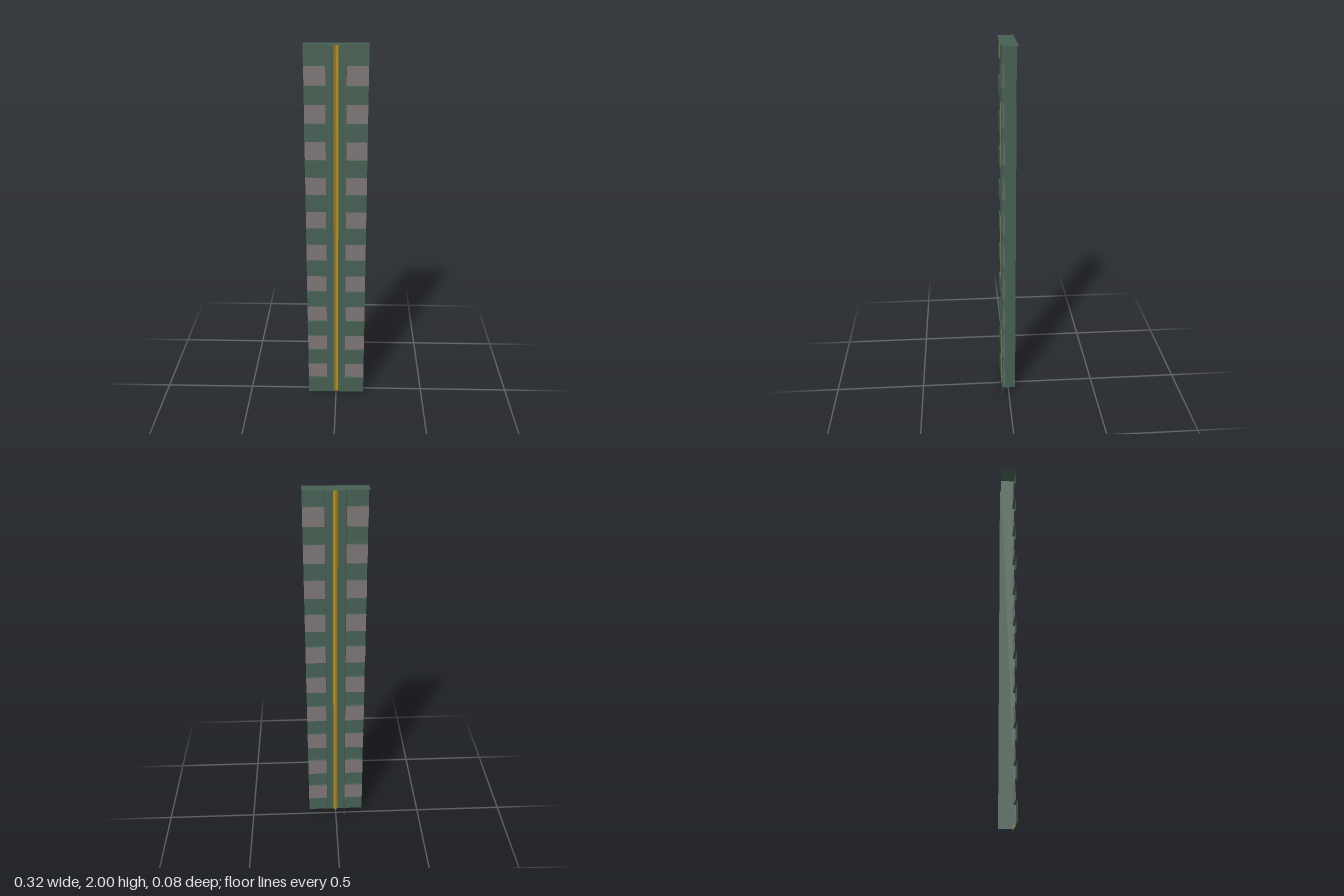
import * as THREE from 'three';

const H = 2, W = 0.16, D = 0.041;        // height, half width, half depth
const FRONT = 0.037, PANE = 0.025;       // wall plane and recessed window plane
const IN = 0.052, STRIP = 0.012;         // inner window edge, half width of centre strip
const ROWS = 10, FIRST = 0.145, PITCH = 0.1897, HALF = 0.049;

const mat = (color) => new THREE.MeshStandardMaterial({ color, side: THREE.DoubleSide, flatShading: true });
const green = mat(0x465f53), grey = mat(0x7d7575), gold = mat(0xb48e1a);

// Flat sheet, turned by rx / ry and placed at x, y, z
function sheet(name, material, w, h, x, y, z, rx = 0, ry = 0) {
  const mesh = new THREE.Mesh(new THREE.PlaneGeometry(w, h), material);
  mesh.name = name;
  mesh.position.set(x, y, z);
  mesh.rotation.set(rx, ry, 0);
  return mesh;
}

function createHalf(name) {
  const half = new THREE.Group();
  half.name = name;
  const depth = FRONT - PANE, midZ = (FRONT + PANE) / 2;
  const midX = (IN + W) / 2, width = W - IN;

  // Wall sheet, notched at its outer edge for each window
  const outline = new THREE.Shape();
  outline.moveTo(STRIP, 0);
  outline.lineTo(W, 0);
  for (let i = 0; i < ROWS; i++) {
    const y = FIRST + i * PITCH;
    outline.lineTo(W, y - HALF);
    outline.lineTo(IN, y - HALF);
    outline.lineTo(IN, y + HALF);
    outline.lineTo(W, y + HALF);

    // Recessed pane with sill, lintel and inner reveal
    half.add(
      sheet('window', grey, width, 2 * HALF, midX, y, PANE),
      sheet('sill', green, width, depth, midX, y - HALF, midZ, -Math.PI / 2),
      sheet('lintel', green, width, depth, midX, y + HALF, midZ, Math.PI / 2),
      sheet('reveal', green, depth, 2 * HALF, IN, y, midZ, 0, Math.PI / 2)
    );
  }
  outline.lineTo(W, H);
  outline.lineTo(STRIP, H);
  const wall = new THREE.Mesh(new THREE.ShapeGeometry(outline), green);
  wall.name = 'wall';
  wall.position.z = FRONT;
  half.add(wall);

  // Rib running back from the wall
  half.add(sheet('rib', green, FRONT + D, H, IN - 0.001, H / 2, (FRONT - D) / 2, 0, Math.PI / 2));

  // One side of the V-shaped centre groove
  const run = Math.hypot(STRIP, depth);
  half.add(sheet('grooveSide', gold, run, H, STRIP / 2, H / 2, midZ, 0, -Math.atan2(depth, STRIP)));
  return half;
}

export function createModel() {
  const model = new THREE.Group();
  model.name = 'facadePanel';
  const left = createHalf('leftHalf');
  const right = createHalf('rightHalf');
  right.scale.x = -1;
  model.add(left, right);

  // Roof sheet
  model.add(sheet('roof', green, 2 * W, 2 * D, 0, H, 0, -Math.PI / 2));
  return model;
}
